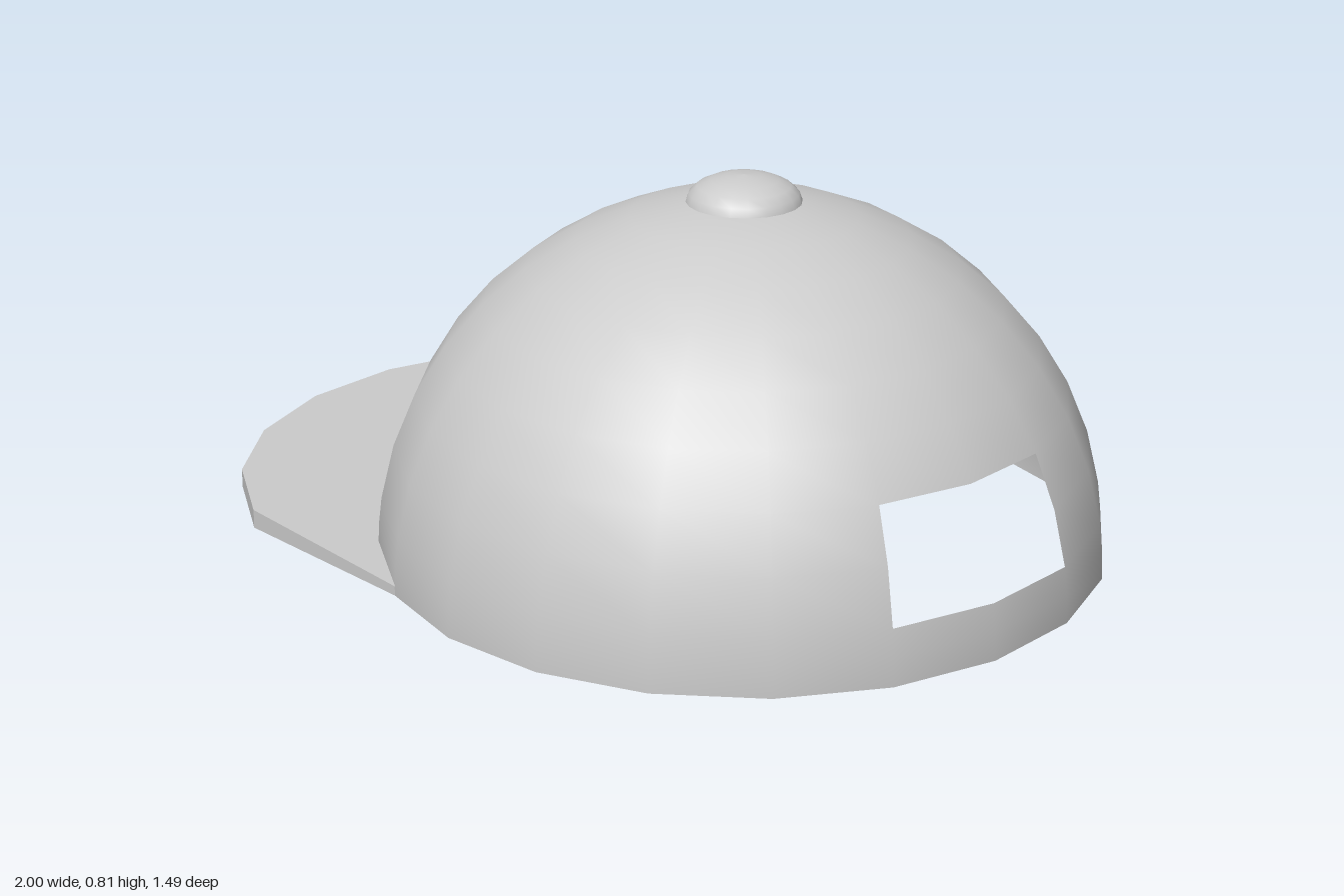
import * as THREE from 'three';

const R = 0.745, CX = 0.255, RIM = 0.02, STEP = Math.PI / 10;

export function createModel() {
  const cap = new THREE.Group();
  cap.name = 'cap';
  const smooth = new THREE.MeshStandardMaterial({ color: 0xcccccc, side: THREE.DoubleSide });
  const flat = new THREE.MeshStandardMaterial({ color: 0xcccccc, side: THREE.DoubleSide, flatShading: true });
  const add = (name, geometry, material, parent = cap) => {
    const mesh = new THREE.Mesh(geometry, material);
    mesh.name = name;
    parent.add(mesh);
    return mesh;
  };

  // Crown: open hemisphere in three bands, the middle one leaving the rear opening
  const crown = new THREE.Group();
  crown.name = 'crown';
  crown.position.set(CX, RIM, 0);
  cap.add(crown);
  const band = (name, from, rows, phi = 0, columns = 20) =>
    add(name, new THREE.SphereGeometry(R, columns, rows, phi, columns * STEP,
      from * STEP / 2, rows * STEP / 2), smooth, crown);
  band('crownTop', 0, 7);
  band('openingBand', 7, 2, Math.PI + STEP, 18);
  band('rearStrap', 9, 1);

  // Button on top: shallow squashed dome
  const profile = [];
  for (let i = 0; i <= 5; i++) {
    const a = i * STEP / 2;
    profile.push(new THREE.Vector2(0.117 * Math.cos(i * STEP / 2 * 2), 0.055 * Math.sin(a * 2)));
  }
  profile[5].x = 0;
  add('button', new THREE.LatheGeometry(profile, 20), smooth).position.set(CX, 0.757, 0);

  // Brim: the front part of the rim shifted forward, with a flat top reaching inside the crown
  const TOP = 0.04, SHIFT = 2 * CX;
  const positions = [];
  const tri = (...corners) => corners.forEach(c => positions.push(...c));
  const quad = (a, b, c, d) => { tri(a, b, c); tri(a, c, d); };
  const rim = [], lower = [], upper = [];
  for (let i = 6; i <= 14; i++) {
    const x = CX + R * Math.cos(i * STEP), z = R * Math.sin(i * STEP);
    rim.push([x, RIM, z]);
    lower.push([x - SHIFT, 0, z]);
    upper.push([x - SHIFT, TOP, z]);
  }
  const apex = [-CX, TOP, 0];
  for (let i = 0; i < 8; i++) {
    tri(apex, upper[i + 1], upper[i]);                        // top
    quad(lower[i], upper[i], upper[i + 1], lower[i + 1]);     // outer edge
    quad(rim[i], lower[i], lower[i + 1], rim[i + 1]);         // underside
  }
  // Straight sides and the wings of the top that end inside the crown
  for (const [k, flip] of [[0, false], [8, true]]) {
    const z = rim[k][2];
    const wing = [CX, TOP, z], joint = [rim[k][0], TOP, z];
    if (flip) {
      tri(apex, wing, upper[k]);
      quad(lower[k], upper[k], joint, rim[k]);
    } else {
      tri(apex, upper[k], wing);
      quad(lower[k], rim[k], joint, upper[k]);
    }
  }
  const brim = new THREE.BufferGeometry();
  brim.setAttribute('position', new THREE.Float32BufferAttribute(positions, 3));
  brim.computeVertexNormals();
  add('brim', brim, flat);

  return cap;
}
